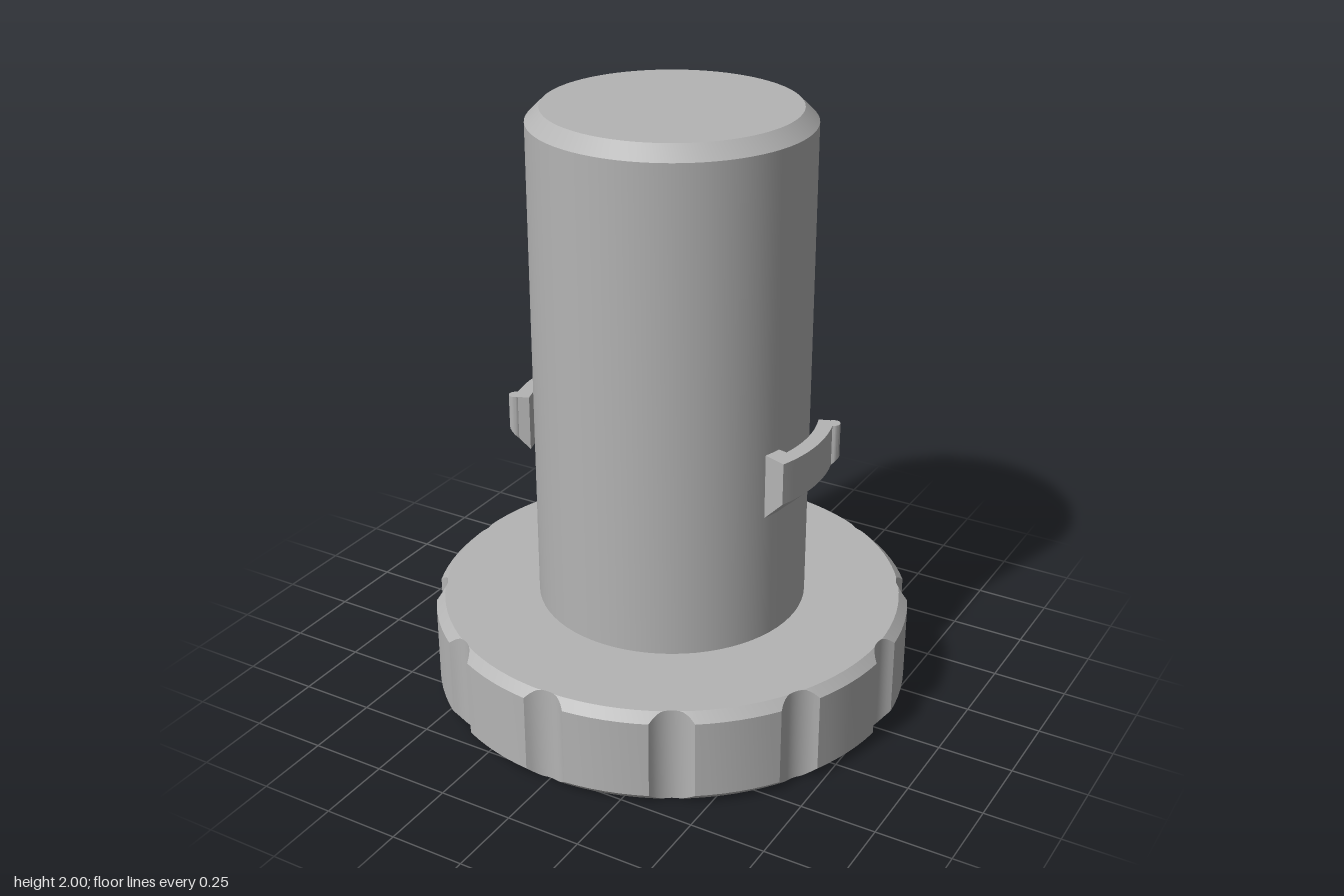
import * as THREE from 'three';
import { toCreasedNormals } from 'three/addons/utils/BufferGeometryUtils.js';

const KNOB_R = 0.8, KNOB_H = 0.325, KNOB_RIM = 0.77;
const SLOTS = 12, CUT_D = 0.86, CUT_R = 0.095;
const LUG_TOP = 0.98;
// sloped underside shared by every piece of a lug
const lugBottom = (r) => 0.84 - (0.53 - r);

// Sweeps a counter-clockwise (radius, height) profile around the y axis
function sweep(profileAt, angles, closed) {
  const pos = [];
  const rings = angles.map((a) =>
    profileAt(a).map(([r, y]) => [r * Math.cos(a), y, r * Math.sin(a)]));
  const n = rings[0].length;
  for (let i = 0; i < rings.length - 1; i++) {
    const A = rings[i], B = rings[i + 1];
    for (let j = 0; j < (closed ? n : n - 1); j++) {
      const k = (j + 1) % n;
      pos.push(...A[j], ...A[k], ...B[k], ...A[j], ...B[k], ...B[j]);
    }
  }
  if (closed) {
    const S = rings[0], E = rings[rings.length - 1];
    for (let j = 1; j < n - 1; j++) {
      pos.push(...S[0], ...S[j + 1], ...S[j], ...E[0], ...E[j], ...E[j + 1]);
    }
  }
  const g = new THREE.BufferGeometry();
  g.setAttribute('position', new THREE.Float32BufferAttribute(pos, 3));
  return toCreasedNormals(g, 0.5);
}

const range = (a, b, n) => Array.from({ length: n + 1 }, (_, i) => a + ((b - a) * i) / n);

// Round knob with scooped grip slots and chamfered rims
function knobGeometry() {
  const step = (2 * Math.PI) / SLOTS;
  const half = Math.acos((KNOB_R ** 2 + CUT_D ** 2 - CUT_R ** 2) / (2 * KNOB_R * CUT_D));
  const angles = [];
  for (let i = 0; i < SLOTS; i++) {
    const c = i * step;
    angles.push(...range(c - half, c + half, 12), ...range(c + half, c + step - half, 6).slice(1, -1));
  }
  angles.push(2 * Math.PI - half);
  const profile = (a) => {
    const off = a - Math.round(a / step) * step;
    const s = CUT_R ** 2 - (CUT_D * Math.sin(off)) ** 2;
    const cut = s > 0 ? CUT_D * Math.cos(off) - Math.sqrt(s) : KNOB_R;
    const r = Math.min(KNOB_R, cut);
    const rim = Math.min(r, KNOB_RIM), y = Math.max(0, r - KNOB_RIM);
    return [[0, 0], [rim, 0], [r, y], [r, KNOB_H - y], [rim, KNOB_H], [0, KNOB_H]];
  };
  return sweep(profile, angles, false);
}

// Curved block between two radii with the sloped underside
function lugBlock(r0, r1, a0, a1, n) {
  const profile = () => [[r0, LUG_TOP], [r0, lugBottom(r0)], [r1, lugBottom(r1)], [r1, LUG_TOP]];
  return sweep(profile, range(a0, a1, n), true);
}

// Rounded catch at the free end of the spring arm
function catchGeometry() {
  const g = new THREE.CylinderGeometry(0.022, 0.022, 0.1, 20);
  g.translate(0.505, LUG_TOP - 0.05, -0.165);
  const p = g.attributes.position;
  for (let i = 0; i < p.count; i++) {
    if (p.getY(i) < LUG_TOP - 0.05) p.setY(i, lugBottom(Math.hypot(p.getX(i), p.getZ(i))));
  }
  return toCreasedNormals(g, 0.5);
}

export function createModel() {
  const group = new THREE.Group();
  const grey = new THREE.MeshStandardMaterial({ color: 0xb4b4b4 });
  grey.name = 'grey';

  const add = (parent, name, geometry) => {
    const mesh = new THREE.Mesh(geometry, grey);
    mesh.name = name;
    parent.add(mesh);
  };

  add(group, 'knob', knobGeometry());

  // Shaft with chamfered top
  const outline = [[0.45, 0.3], [0.45, 1.955], [0.405, 2], [0, 2]];
  const shaft = new THREE.LatheGeometry(outline.map(([x, y]) => new THREE.Vector2(x, y)), 72);
  add(group, 'shaft', toCreasedNormals(shaft, 0.5));

  // Two spring lugs, half a turn apart
  const armGeo = lugBlock(0.48, 0.53, -0.35, 0.345, 16);
  const rootGeo = lugBlock(0.435, 0.48, 0.21, 0.345, 4);
  const catchGeo = catchGeometry();
  for (const [name, turn] of [['leftLug', 0], ['rightLug', Math.PI]]) {
    const lug = new THREE.Group();
    lug.name = name;
    add(lug, 'springArm', armGeo);
    add(lug, 'armRoot', rootGeo);
    add(lug, 'endCatch', catchGeo);
    lug.rotation.y = turn;
    group.add(lug);
  }
  return group;
}
